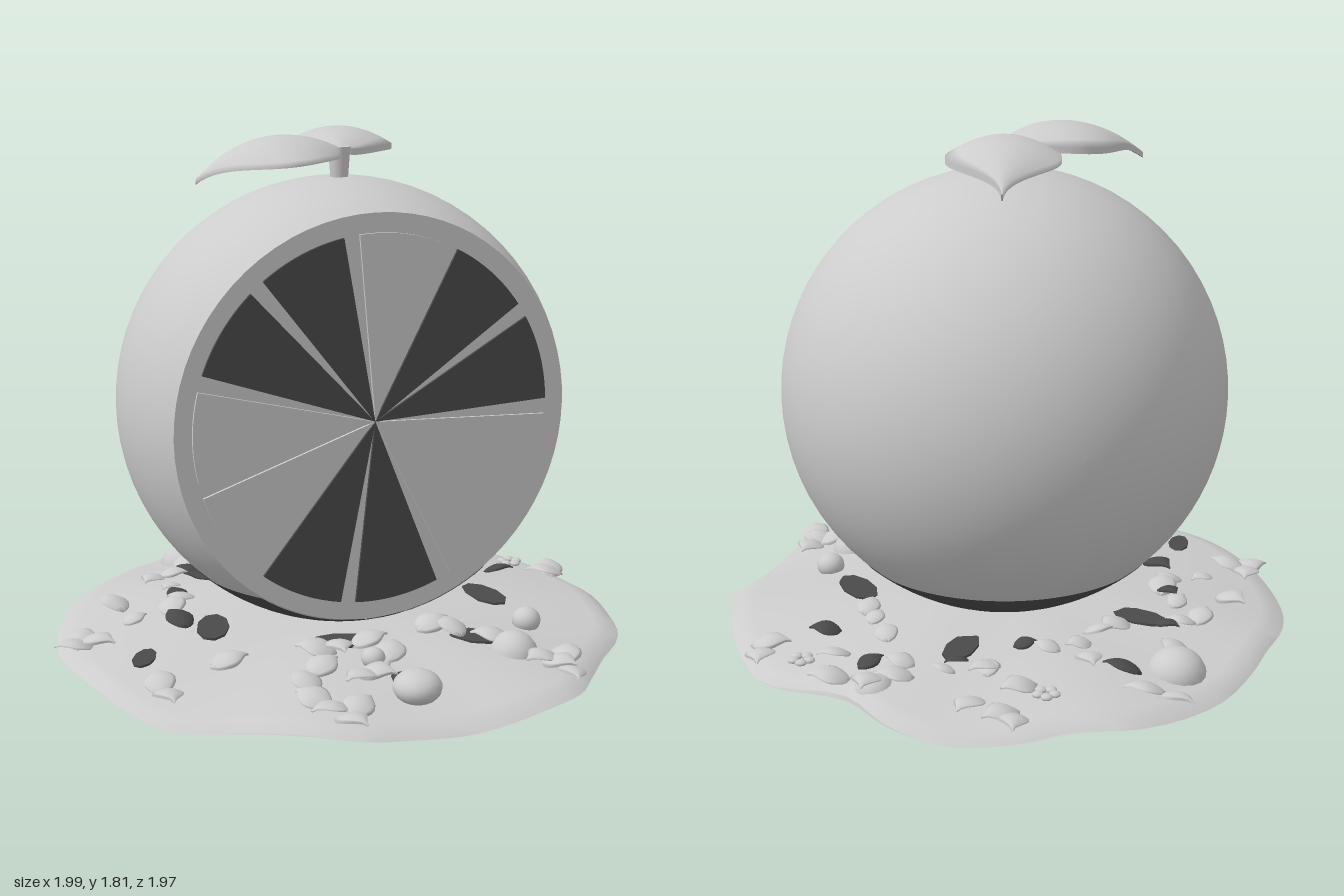
import * as THREE from 'three';
import { ParametricGeometry } from 'three/addons/geometries/ParametricGeometry.js';

const R = 0.765, CY = 0.9, CUT = 0.33;

export function createModel() {
  const model = new THREE.Group();
  const light = new THREE.MeshStandardMaterial({ color: 0xcccccc, side: THREE.DoubleSide });
  light.name = 'pale grey';
  const dark = new THREE.MeshStandardMaterial({ color: 0x4a4a4a, side: THREE.DoubleSide });
  dark.name = 'charcoal';

  const add = (name, geo, mat, parent = model) => {
    const mesh = new THREE.Mesh(geo, mat);
    mesh.name = name;
    parent.add(mesh);
    return mesh;
  };
  let seed = 7;
  const rand = () => (seed = (seed * 16807) % 2147483647) / 2147483647;

  // Fruit body: sphere profile spun round z, stopped at the cut
  const profile = [];
  const end = Math.asin(CUT / R);
  for (let i = 0; i <= 40; i++) {
    const a = -Math.PI / 2 + (end + Math.PI / 2) * i / 40;
    profile.push(new THREE.Vector2(Math.max(0, R * Math.cos(a)), R * Math.sin(a)));
  }
  const body = add('fruitBody', new THREE.LatheGeometry(profile, 72), light);
  body.rotation.x = Math.PI / 2;
  body.position.y = CY;
  const faceR = R * Math.cos(end);
  add('cutFace', new THREE.CircleGeometry(faceR, 72), light).position.set(0, CY, CUT);

  // Dark lower cap, following the sphere and open at the cut
  add('lowerCap', new ParametricGeometry((u, v, p) => {
    const y = 0.335 - 0.197 * v, r = Math.sqrt((R + 0.003) ** 2 - (y - CY) ** 2);
    const s = Math.asin(Math.min(1, CUT / r));
    const a = Math.PI - s + u * (Math.PI + 2 * s);
    p.set(r * Math.cos(a), y, r * Math.sin(a));
  }, 64, 12), dark);

  // Eleven pulp wedges on the cut face
  const darkWedges = [0, 1, 3, 4, 7, 8];
  for (let i = 0; i < 11; i++) {
    const mid = (15.9 + i * 360 / 11) * Math.PI / 180, half = 0.242;
    const shape = new THREE.Shape();
    shape.moveTo(0, 0);
    shape.absarc(0, 0, 0.625, mid - half, mid + half, false);
    shape.lineTo(0, 0);
    const geo = new THREE.ExtrudeGeometry(shape, { depth: 0.009, bevelEnabled: false, curveSegments: 12 });
    add('pulpWedge', geo, darkWedges.includes(i) ? dark : light).position.set(-0.005, CY, CUT + 0.001);
  }

  // Stem
  add('stem', new THREE.CylinderGeometry(0.038, 0.028, 0.13, 12), light).position.set(0, 1.7, 0);

  // Arched pointed leaf running along +x; the top sheet has a short skirt
  const leafGeo = (L, w, rise, fall, droop, thick, under, n) => new ParametricGeometry((u, v, p) => {
    const s = 1.2 - 2.4 * v, c = Math.max(-1, Math.min(1, s));
    const hw = 0.0015 + w * Math.max(0, Math.sin(Math.PI * u ** 0.85)) ** (0.75 + 0.9 * u);
    const skirt = under ? 1 : Math.max(0, Math.abs(s) - 1) * 5;
    p.set(L * u, rise * u - fall * u * u - droop * c * c * (hw / w) - thick * skirt,
      (under ? -c : c) * hw);
  }, n, 12);

  for (const [name, deg] of [['leftLeaf', 70], ['rightLeaf', 183]]) {
    const leaf = new THREE.Group();
    leaf.name = name;
    add('leafTop', leafGeo(0.51, 0.185, 0.26, 0.335, 0.06, 0.02, false, 28), light, leaf);
    add('leafUnderside', leafGeo(0.51, 0.185, 0.26, 0.335, 0.06, 0.02, true, 28), dark, leaf);
    leaf.position.set(0, 1.76, 0);
    leaf.rotation.y = deg * Math.PI / 180;
    model.add(leaf);
  }

  // Wavy base: outline curve with a low dome above and a shallow underside
  const outline = new THREE.CatmullRomCurve3([
    [0.97, 0.03], [0.93, 0.28], [0.88, 0.45], [0.72, 0.62], [0.6, 0.76], [0.49, 0.88], [0.3, 0.95],
    [0.08, 0.98], [-0.12, 0.96], [-0.28, 0.94], [-0.44, 0.85], [-0.6, 0.74], [-0.8, 0.62], [-0.9, 0.45],
    [-0.97, 0.2], [-0.995, -0.05], [-0.95, -0.3], [-0.85, -0.5], [-0.71, -0.65], [-0.6, -0.76],
    [-0.4, -0.9], [-0.1, -0.99], [0.1, -0.945], [0.27, -0.93], [0.5, -0.85], [0.64, -0.7],
    [0.72, -0.5], [0.93, -0.27],
  ].map(([x, z]) => new THREE.Vector3(x, 0, z)), true);
  const edge = outline.getPoints(96);
  const wave = (x, z) => 0.012 * Math.sin(7 * Math.atan2(z, x));
  const height = (x, z) => {
    const q = Math.hypot(x, z) / 0.98;
    return 0.085 + 0.095 * Math.max(0, 1 - q * q) + wave(x, z) * q * q;
  };
  const sheet = (name, isTop) => add(name, new ParametricGeometry((u, v, p) => {
    const f = u * 96, i = Math.min(95, Math.floor(f));
    p.lerpVectors(edge[i], edge[i + 1], f - i);
    const q = Math.max(0.002, isTop ? v : 1 - v);
    const x = p.x * q, z = p.z * q;
    const rim = Math.max(0, (q - 0.93) / 0.07) ** 2;
    const y = isTop ? height(x, z) - 0.02 * rim : 0.052 + (0.013 + wave(x, z)) * q ** 6;
    p.set(x, y, z);
  }, 96, 24), light);
  sheet('baseTop', true);
  sheet('baseUnderside', false);

  // Small scattered leaves
  const smallGeo = leafGeo(0.14, 0.05, 0.12, 0.1, 0.015, 0.006, false, 8);
  const smallLeaf = (x, z, deg, size = 1, mat = light) => {
    const holder = new THREE.Group();
    holder.name = 'smallLeaf';
    holder.position.set(x, height(x, z) + 0.008, z);
    holder.rotation.y = deg * Math.PI / 180;
    holder.scale.setScalar(size);
    const m = add('smallLeafBlade', smallGeo, mat, holder);
    m.position.x = -0.07;
    m.rotation.x = (rand() - 0.5) * 0.5;
    model.add(holder);
  };
  [
    [-0.26, -0.9, 120], [-0.18, -0.84, -20], [0.28, -0.87, 70], [0.3, -0.82, 10], [0.38, -0.74, 40],
    [0.65, -0.51, 60], [0.75, -0.42, -20], [0.92, -0.15, 70], [0.87, -0.09, 160], [-0.91, -0.09, 60],
    [-0.87, -0.02, -50], [-0.95, -0.04, 180], [-0.74, -0.32, 110], [-0.77, 0.39, 80], [-0.77, 0.48, -90],
    [-0.53, 0.37, 10], [-0.36, 0.62, 100], [-0.37, 0.72, 120], [-0.34, 0.8, 190], [-0.3, 0.88, -70],
    [-0.25, 0.81, 40], [-0.27, 0.55, 30], [-0.25, 0.43, 150], [-0.18, 0.45, -90], [-0.12, 0.64, -40],
    [-0.18, 0.65, 210], [-0.02, 0.52, 60], [-0.06, 0.43, 10], [0.19, 0.38, 20], [0.24, 0.42, 100],
    [0.35, 0.51, 150], [0.45, 0.68, 200], [0.5, 0.72, -60], [0.56, 0.66, 50], [0.5, 0.8, -100],
  ].forEach(([x, z, d]) => smallLeaf(x, z, d));
  // Sheltered ring of litter under the back of the fruit
  for (let i = 0; i < 30; i++) {
    const a = Math.PI + (i + rand()) / 30 * Math.PI, r = 0.46 + 0.3 * rand();
    smallLeaf(r * Math.cos(a), r * Math.sin(a), rand() * 360, 0.6 + 0.4 * rand(), i % 4 ? light : dark);
  }

  // Dark patches on the base
  [[-0.13, 0.39, -20, 1.5], [0.31, 0.48, -40, 1.5], [-0.04, 0.68, 80, 1.1], [-0.77, 0.2, 60, 1],
    [-0.5, 0.1, 70, 1.5], [0.5, 0.15, 100, 1.5], [0.3, -0.42, 50, 1.4], [-0.35, -0.4, 130, 1.4],
  ].forEach(([x, z, deg, size]) => {
    const geo = new THREE.CylinderGeometry(0.075 * size, 0.075 * size, 0.008, 9);
    const m = add('darkPatch', geo, dark);
    m.scale.z = 0.5;
    m.position.set(x, height(x, z) + 0.004, z);
    m.rotation.y = deg * Math.PI / 180;
  });

  // Buds, some of them poking through the underside
  [[-0.35, -0.71, 0.1, 0.09, 0.09], [-0.04, 0.78, 0.08, 0.15, 0.055], [0.4, 0.58, 0.085, 0.11, 0.085],
    [0.54, 0.4, 0.05, 0.15, 0.045], [0.62, -0.5, 0.07, 0.09, 0.065], [-0.1, 0.56, 0.04, 0.17, 0.035],
  ].forEach(([x, z, r, y, h]) => {
    const m = add('bud', new THREE.SphereGeometry(1, 18, 12), light);
    m.scale.set(r, h, r);
    m.position.set(x, y, z);
  });

  // Tiny five-petal blossoms
  for (const [x, z] of [[0.8, -0.24], [-0.08, 0.56], [0.13, -0.77], [0.2, 0.36]]) {
    for (let i = 0; i < 5; i++) {
      const a = i * Math.PI * 0.4;
      const m = add('petal', new THREE.SphereGeometry(0.02, 10, 6), light);
      m.scale.y = 0.5;
      m.position.set(x + 0.028 * Math.cos(a), height(x, z) + 0.01, z + 0.028 * Math.sin(a));
    }
  }
  return model;
}
